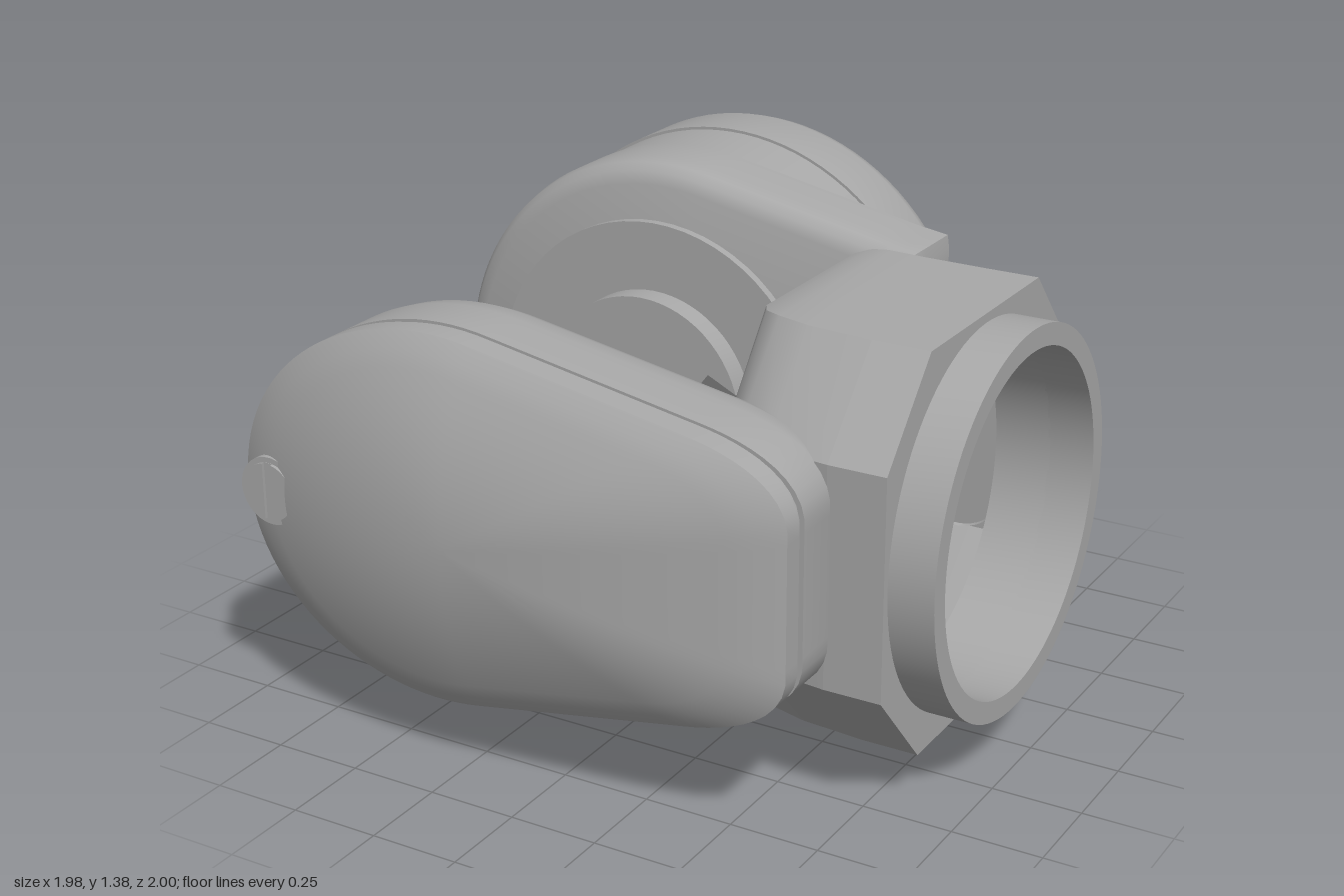
import * as THREE from 'three';
import { toCreasedNormals } from 'three/addons/utils/BufferGeometryUtils.js';

const grey = new THREE.MeshStandardMaterial({ color: 0xa8a8a8, side: THREE.DoubleSide });
grey.name = 'grey';

const CY = 0.69; // height of the main axes
const RAD = Math.PI / 180;

function part(name, geometry, parent, crease = 0.6) {
  const mesh = new THREE.Mesh(toCreasedNormals(geometry, crease), grey);
  mesh.name = name;
  parent.add(mesh);
  return mesh;
}

// Skin over a list of equal-length cross-sections of [x, y, z] points.
function loft(rings, { closed = true, capStart = false, capEnd = false } = {}) {
  const n = rings[0].length, pos = rings.flat(2), idx = [];
  for (let k = 0; k < rings.length - 1; k++) {
    for (let i = 0; i < (closed ? n : n - 1); i++) {
      const a = k * n + i, b = k * n + (i + 1) % n;
      idx.push(a, b, b + n, a, b + n, a + n);
    }
  }
  const cap = (k, flip) => {
    const c = pos.length / 3, mid = [0, 0, 0];
    rings[k].forEach(p => p.forEach((v, j) => { mid[j] += v / n; }));
    pos.push(...mid);
    for (let i = 0; i < n; i++) {
      const a = k * n + i, b = k * n + (i + 1) % n;
      if (flip) idx.push(c, b, a); else idx.push(c, a, b);
    }
  };
  if (capStart) cap(0, true);
  if (capEnd) cap(rings.length - 1, false);
  const g = new THREE.BufferGeometry();
  g.setAttribute('position', new THREE.Float32BufferAttribute(pos, 3));
  g.setIndex(idx);
  g.computeVertexNormals();
  return g;
}

// Sections of one outline, scaled about (cx, cy) and placed at z.
const sections = (outline, cx, cy, list) => list.map(([s, z]) =>
  outline.map(p => [cx + (p.x - cx) * s, cy + (p.y - cy) * s, z]));

const extrude = (shape, depth) =>
  new THREE.ExtrudeGeometry(shape, { depth, bevelEnabled: false, curveSegments: 48 });

// Disc or plate with its axis along z, from z0 to z1.
function disc(name, r, x, y, z0, z1, parent) {
  const g = new THREE.CylinderGeometry(r, r, Math.abs(z1 - z0), 64).rotateX(Math.PI / 2);
  part(name, g, parent).position.set(x, y, (z0 + z1) / 2);
}

// Slotted screw head facing +z: two segments with a gap between them.
function screw(name, r, height) {
  const g = new THREE.Group();
  g.name = name;
  disc('screwBase', r, 0, 0, -0.06, height * 0.4, g);
  for (const turn of [0, Math.PI]) {
    const s = new THREE.Shape().absarc(0, 0, r, -80 * RAD, 80 * RAD, false);
    part('screwHalf', extrude(s, height), g).rotation.z = turn;
  }
  return g;
}

function frontArm(root) {
  const s = new THREE.Shape();
  s.moveTo(0.71, 0.9);
  s.bezierCurveTo(0.7, 0.99, 0.6, 1.06, 0.42, 1.09);
  s.absellipse(-0.32, 0.7, 0.6, 0.51, 78 * RAD, 282 * RAD, false);
  s.lineTo(0.42, 0.31);
  s.bezierCurveTo(0.6, 0.34, 0.7, 0.41, 0.71, 0.5);
  s.lineTo(0.71, 0.9);
  const outline = s.getSpacedPoints(120).slice(0, -1);
  const make = (list, opts) => loft(sections(outline, -0.2, 0.7, list), opts);

  part('frontArm', make([[0.85, 0.5], [0.9, 0.508], [0.95, 0.535], [0.985, 0.575], [1, 0.63], [1, 0.77]],
    { capStart: true, capEnd: true }), root);
  part('frontGroove', make([[0.985, 0.76], [0.985, 0.81]]), root);

  // domed cover
  const dome = [[1, 0.795], [1, 0.855]];
  for (let k = 1; k <= 12; k++) {
    const r = 1 - k / 12.5;
    dome.push([r, 0.865 + 0.133 * (1 - r * r)]);
  }
  part('frontCover', make(dome, { capStart: true, capEnd: true }), root);

  disc('frontBoss', 0.31, -0.29, CY, 0.425, 0.52, root);
  disc('coverScrewSeat', 0.095, -0.8, 0.7, 0.84, 0.912, root);
  const sc = screw('coverScrew', 0.08, 0.014);
  sc.position.set(-0.8, 0.7, 0.908);
  root.add(sc);
}

function rearArm(root) {
  const s = new THREE.Shape();
  s.moveTo(0.5, 0.145);
  s.lineTo(0.5, 1.235);
  s.lineTo(0.4, 1.25);
  s.absellipse(-0.3, CY, 0.685, 0.685, 78 * RAD, 282 * RAD, false);
  s.lineTo(0.4, 0.13);
  s.lineTo(0.5, 0.145);
  const outline = s.getSpacedPoints(120).slice(0, -1);
  part('rearArm', loft(sections(outline, -0.25, CY,
    [[1, -0.45], [1, -0.31], [0.988, -0.27], [0.96, -0.243], [0.91, -0.23]]),
    { capStart: true, capEnd: true }), root);

  // drum and its domed cap, turned about the rear axis
  const turned = (name, pts) => {
    const g = new THREE.LatheGeometry(pts.map(p => new THREE.Vector2(...p)), 96).rotateX(-Math.PI / 2);
    part(name, g, root).position.set(-0.3, CY, 0);
  };
  turned('rearDrum', [[0.68, 0.42], [0.682, 0.64]]);
  turned('rearCap', [[0.68, 0.64], [0.69, 0.64], [0.69, 0.82], [0.68, 0.853], [0.655, 0.88],
    [0.61, 0.9], [0.5, 0.93], [0.38, 0.96], [0.25, 0.983], [0.12, 0.996], [0, 1]]);
  disc('rearPlate', 0.52, -0.3, CY, -0.25, -0.205, root);
  disc('rearBoss', 0.32, -0.3, CY, -0.22, -0.135, root);
}

// Eight-sided section of the body; u points to the back (u = -z).
function octagon(u0, u1, h) {
  const c = (u1 - u0) * 0.205, v = 0.55 * h;
  return [[u1, -v], [u1, v], [u1 - c, h], [u0 + c, h], [u0, v], [u0, -v], [u0 + c, -h], [u1 - c, -h]]
    .map(([a, b]) => new THREE.Vector2(a, CY + b));
}

// Half-width of the passage opening at distance d from its tip.
const passage = d => Math.sqrt((0.72 * d) ** 2 + 0.02 * d);

function body(root) {
  const g = new THREE.Group();
  g.name = 'body';
  g.rotation.y = Math.PI / 2; // local z runs along x
  root.add(g);

  const steps = [[0.3, 0.36, 0.5], [0.32, 0.44, 0.525], [0.36, 0.53, 0.54], [0.42, 0.585, 0.55],
    [0.52, 0.62, 0.55], [0.7, 0.64, 0.55]];
  part('bodyShell', loft(steps.map(([x, z, h]) =>
    octagon(-z, 0.45, h).map(p => [p.x, p.y, x]))), g, 0.45);

  // inner wall with the opening into the front arm
  const wall = new THREE.Shape(octagon(-0.36, 0.45, 0.5));
  const hole = [];
  for (let i = -12; i <= 12; i++) {
    const d = 0.39 * (i / 12) ** 2;
    hole.push(new THREE.Vector2(0.04 - d, CY + Math.sign(i) * passage(d)));
  }
  wall.holes.push(new THREE.Path(hole));
  part('innerWall', new THREE.ShapeGeometry(wall), g).position.z = 0.3;

  // octagonal collar, round mouth and bore
  const bore = () => new THREE.Path().absarc(-0.095, CY, 0.465, 0, Math.PI * 2, true);
  const collar = new THREE.Shape(octagon(-0.64, 0.45, 0.55));
  collar.holes.push(bore());
  part('collar', extrude(collar, 0.16), g).position.z = 0.7;
  const mouth = new THREE.Shape().absarc(-0.095, CY, 0.525, 0, Math.PI * 2, false);
  mouth.holes.push(bore());
  part('mouthRing', extrude(mouth, 0.13), g).position.z = 0.855;

  // tapering hood joining the body to the front arm
  const rings = [];
  for (let k = 0; k <= 10; k++) {
    const t = k / 10, ring = [];
    for (let i = -14; i <= 14; i++) {
      const d = (0.56 - 0.54 * t) * (i / 14) ** 2;
      ring.push([0.3 - 0.3 * t, CY + Math.sign(i) * passage(d), -0.04 + 0.54 * t + d]);
    }
    rings.push(ring);
  }
  part('hood', loft(rings, { closed: false }), root, 1);
}

function rearScrewBoss(root) {
  const g = new THREE.Group();
  g.name = 'rearScrewBoss';
  g.position.set(0.555, CY, -0.44);
  g.rotation.y = Math.PI;
  root.add(g);
  // tapered rounded-end pad
  const pad = (r, h, z) => Array.from({ length: 48 }, (_, i) => {
    const a = (i + 0.5) / 48 * Math.PI * 2;
    return [r * Math.cos(a), r * Math.sin(a) + Math.sign(Math.sin(a)) * (h - r), z];
  });
  part('pad', loft([pad(0.147, 0.305, 0), pad(0.112, 0.265, 0.118)], { capEnd: true }), g);
  const sc = screw('rearScrew', 0.08, 0.055);
  sc.position.z = 0.118;
  g.add(sc);
}

export function createModel() {
  const root = new THREE.Group();
  root.name = 'forkedHousing';
  frontArm(root);
  rearArm(root);
  body(root);
  rearScrewBoss(root);
  return root;
}
